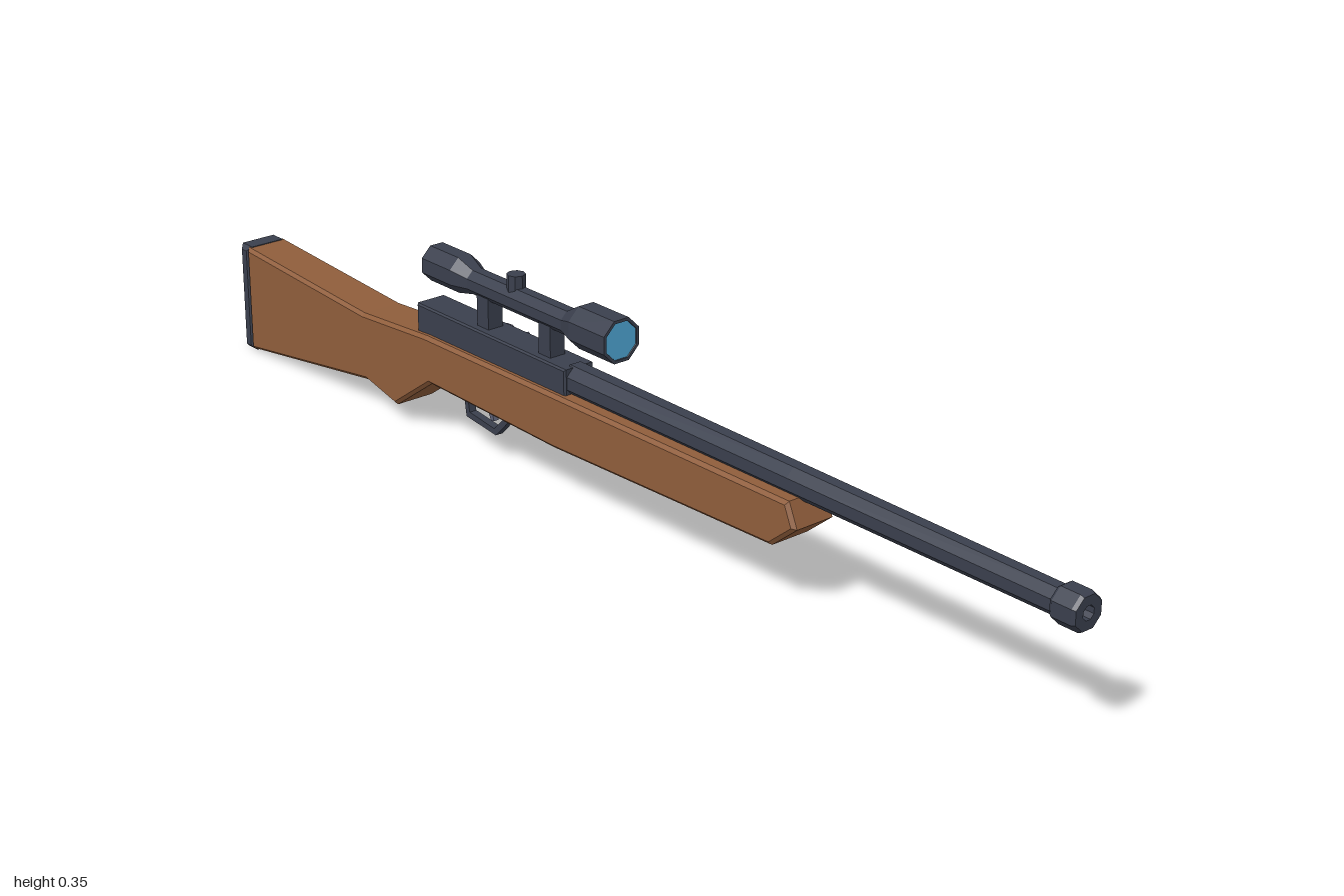
import * as THREE from 'three';

const CX = -0.042; // centre plane of the rifle; only the bolt handle sticks out

const mat = (name, color) => {
  const m = new THREE.MeshStandardMaterial({ color });
  m.name = name;
  return m;
};

// Give every face its own flat normal
function flat(geo) {
  const g = geo.index ? geo.toNonIndexed() : geo;
  g.computeVertexNormals();
  return g;
}

// Octagonal body through sections [z, centre y, half width], listed front to back
function loft(sections) {
  const N = 8, pos = [];
  const pt = ([z, y, r], k) => {
    const a = ((k % N) + 0.5) * Math.PI * 2 / N, c = r / Math.cos(Math.PI / N);
    return [CX + c * Math.cos(a), y + c * Math.sin(a), z];
  };
  for (let i = 0; i < sections.length - 1; i++) {
    const f = sections[i], b = sections[i + 1];
    for (let k = 0; k < N; k++) {
      if (b[2] > 0) pos.push(...pt(f, k), ...pt(b, k), ...pt(b, k + 1));
      if (f[2] > 0) pos.push(...pt(f, k), ...pt(b, k + 1), ...pt(f, k + 1));
    }
  }
  const g = new THREE.BufferGeometry();
  g.setAttribute('position', new THREE.Float32BufferAttribute(pos, 3));
  return flat(g);
}

// Side outline of [z, y] points, extruded across x with a small bevel
function sidePlate(points, width, bevel) {
  const shape = new THREE.Shape(points.map(p => new THREE.Vector2(...p)));
  const g = new THREE.ExtrudeGeometry(shape, {
    depth: width - 2 * bevel, bevelEnabled: bevel > 0, bevelSegments: 1,
    bevelSize: bevel, bevelThickness: bevel, bevelOffset: -bevel,
  });
  g.translate(0, 0, -(width - 2 * bevel) / 2).rotateY(-Math.PI / 2).translate(CX, 0, 0);
  return flat(g);
}

// Straight six-sided rod between two points
function rod(a, b, r0, r1) {
  const A = new THREE.Vector3(...a), B = new THREE.Vector3(...b);
  const d = B.clone().sub(A);
  const g = new THREE.CylinderGeometry(r1, r0, d.length(), 6);
  g.applyQuaternion(new THREE.Quaternion().setFromUnitVectors(new THREE.Vector3(0, 1, 0), d.normalize()));
  g.translate(...A.add(B).multiplyScalar(0.5).toArray());
  return flat(g);
}

export function createModel() {
  const wood = mat('walnut wood', 0x8f5d3b);
  const steel = mat('dark gunmetal', 0x3a3f4d);
  const bright = mat('bolt steel', 0x5d6076);
  const glass = mat('lens glass', 0x4fa5d3);

  const model = new THREE.Group();
  model.name = 'scopedRifle';
  const add = (name, geo, material, parent = model) => {
    const m = new THREE.Mesh(geo, material);
    m.name = name;
    parent.add(m);
    return m;
  };
  const box = (w, h, d, y, z) => new THREE.BoxGeometry(w, h, d).translate(CX, y, z);

  // Stock and butt plate
  add('stock', sidePlate([
    [0.45, 0.196], [0.468, 0.155], [0.415, 0.112], [-0.1, 0.098], [-0.43, 0.105],
    [-0.53, 0.035], [-0.615, 0.055], [-0.975, 0.004], [-0.975, 0.2],
    [-0.62, 0.178], [-0.44, 0.19],
  ], 0.084, 0.006), wood);
  add('buttPlate', sidePlate([[-0.97, 0.001], [-1, 0.001], [-1, 0.201], [-0.97, 0.201]], 0.082, 0.008), steel);

  // Barrel, muzzle with bore, receiver
  add('barrel', loft([[0.96, 0.213, 0.022], [0.43, 0.213, 0.024], [-0.09, 0.213, 0.026]]), steel);
  add('muzzle', loft([
    [0.975, 0.213, 0], [0.975, 0.213, 0.011], [1, 0.213, 0.011], [1, 0.213, 0.026],
    [0.994, 0.213, 0.029], [0.958, 0.213, 0.029], [0.952, 0.213, 0.025], [0.952, 0.213, 0],
  ]), steel);
  add('receiver', sidePlate([
    [-0.08, 0.18], [-0.475, 0.18], [-0.475, 0.237], [-0.08, 0.237],
  ], 0.06, 0.003), steel);

  // Bolt handle, bent outwards and down to a faceted knob
  const bolt = new THREE.Group();
  bolt.name = 'boltHandle';
  model.add(bolt);
  const path = [[-0.02, 0.213, -0.355], [0.03, 0.202, -0.355], [0.065, 0.167, -0.358]];
  for (let i = 0; i < 2; i++) add('boltArm', rod(path[i], path[i + 1], 0.008, 0.008), bright, bolt);
  add('boltKnob', flat(new THREE.IcosahedronGeometry(0.02, 0).translate(0.065, 0.165, -0.358)), bright, bolt);

  // Trigger guard strip and trigger
  add('triggerGuard', sidePlate([
    [-0.235, 0.105], [-0.293, 0.047], [-0.373, 0.056], [-0.381, 0.108],
    [-0.371, 0.108], [-0.364, 0.066], [-0.297, 0.058], [-0.25, 0.105],
  ], 0.014, 0), steel);
  add('trigger', sidePlate([
    [-0.302, 0.106], [-0.305, 0.088], [-0.3, 0.07], [-0.308, 0.068], [-0.317, 0.088], [-0.32, 0.106],
  ], 0.01, 0), bright);

  // Scope: flared tube, lenses, mounts and turret
  const scope = new THREE.Group();
  scope.name = 'scope';
  model.add(scope);
  add('scopeTube', loft([
    [0.02, 0.312, 0], [0.02, 0.312, 0.03], [0.025, 0.312, 0.031], [0.025, 0.312, 0.036],
    [-0.062, 0.312, 0.036], [-0.1, 0.306, 0.021], [-0.345, 0.306, 0.021], [-0.378, 0.31, 0.031],
    [-0.455, 0.31, 0.031], [-0.455, 0.31, 0.026], [-0.45, 0.31, 0.025], [-0.45, 0.31, 0],
  ]), steel, scope);
  add('frontLens', loft([[0.023, 0.312, 0], [0.023, 0.312, 0.0305], [0.019, 0.312, 0.0305]]), glass, scope);
  add('rearLens', loft([[-0.449, 0.31, 0.0255], [-0.453, 0.31, 0.0255], [-0.453, 0.31, 0]]), glass, scope);
  for (const z of [-0.15, -0.312]) add('scopeMount', box(0.03, 0.06, 0.03, 0.262, z), steel, scope);
  add('turret', flat(new THREE.CylinderGeometry(0.016, 0.016, 0.034, 8).translate(CX, 0.332, -0.24)), steel, scope);

  return model;
}
